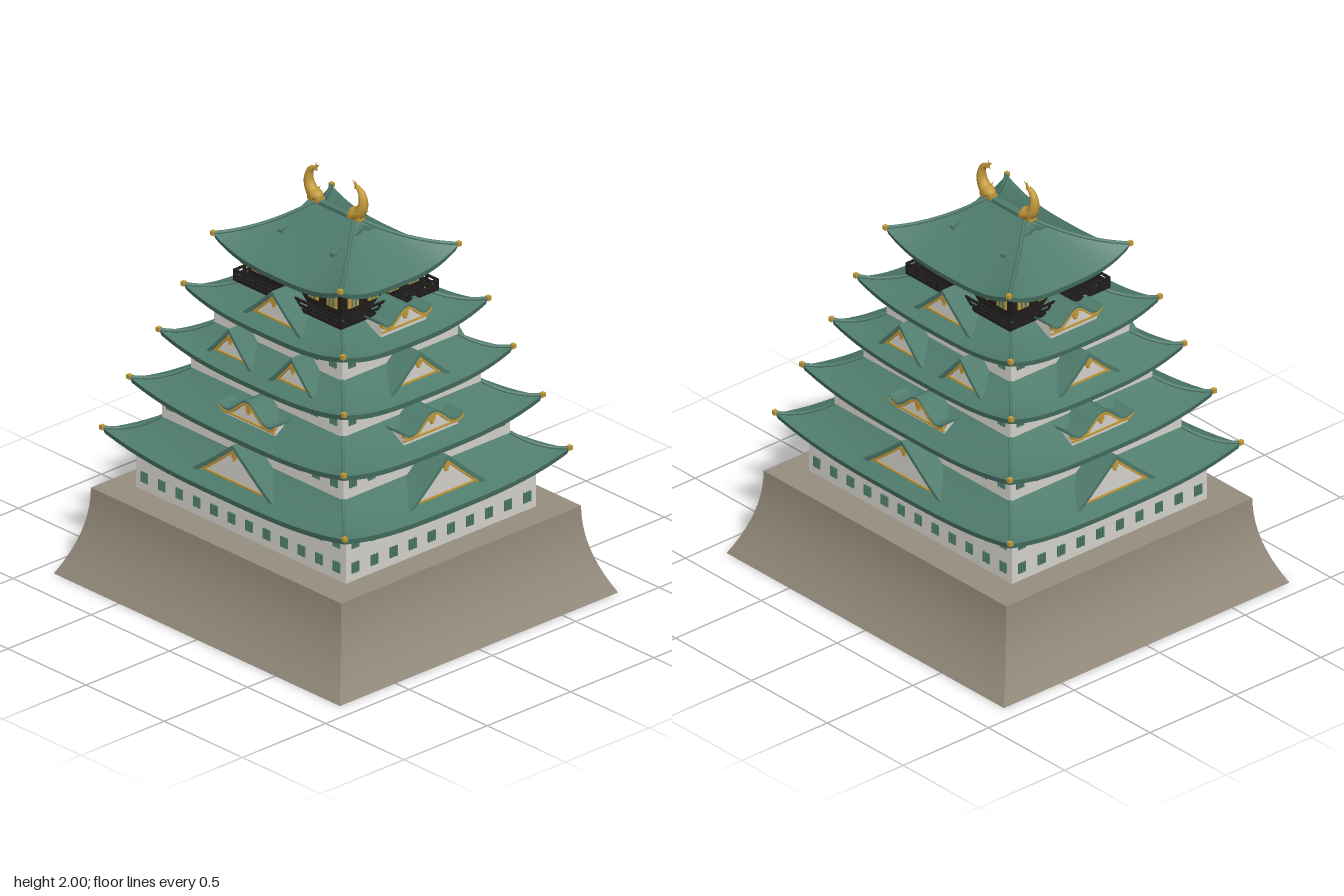
import * as THREE from 'three';
import { mergeGeometries } from 'three/addons/utils/BufferGeometryUtils.js';

const mat = (name, color, side = THREE.FrontSide) =>
  Object.assign(new THREE.MeshStandardMaterial({ color, side }), { name });

export function createModel() {
  const model = new THREE.Group();
  model.name = 'castle';
  const stone = mat('stone', 0x968d7e, THREE.DoubleSide);
  const green = mat('copper green', 0x4e7b6c, THREE.DoubleSide);
  const white = mat('plaster white', 0xd6d4cd);
  const gold = mat('gold', 0xc39a3a);
  const black = mat('lacquer black', 0x1f1d1b);

  const add = (name, geos, material, parent = model) => {
    const list = [geos].flat().map(g => (g.index ? g.toNonIndexed() : g));
    const mesh = new THREE.Mesh(list.length > 1 ? mergeGeometries(list) : list[0], material);
    mesh.name = name;
    parent.add(mesh);
    return mesh;
  };
  const box = (w, h, d, x, y, z) => new THREE.BoxGeometry(w, h, d).translate(x, y, z);
  const turn = (g, k) => g.rotateY(k * Math.PI / 2);

  // Four-sided shell through rectangular rings [halfX, halfZ, y, cornerLift], sharp at the corners
  const LIFT_POWER = 3, DIV = 20;
  function shell(rings) {
    const geos = [];
    for (let k = 0; k < 4; k++) {
      const pos = [], idx = [], n = DIV + 1;
      for (const [hx, hz, y, lift] of rings) {
        const along = k % 2 ? hz : hx, out = k % 2 ? hx : hz;
        for (let i = 0; i < n; i++) {
          const u = i / DIV * 2 - 1;
          pos.push(u * along, y + lift * Math.abs(u) ** LIFT_POWER, out);
        }
      }
      for (let r = 0; r < rings.length - 1; r++) for (let i = 0; i < DIV; i++) {
        const a = r * n + i, b = a + 1, c = a + n, d = c + 1;
        idx.push(a, b, d, a, d, c);
      }
      const g = new THREE.BufferGeometry();
      g.setAttribute('position', new THREE.Float32BufferAttribute(pos, 3));
      g.setIndex(idx);
      g.computeVertexNormals();
      geos.push(turn(g, k));
    }
    return geos;
  }

  // Flared stone base, hollow underneath
  const baseRings = [];
  for (let i = 0; i <= 10; i++) {
    const f = 0.115 * (1 - i / 10) ** 2;
    baseRings.push([0.8 + f, 0.72 + f, 0.042 * i, 0]);
  }
  add('stoneBase', shell(baseRings), stone);
  add('stoneBaseTop', new THREE.PlaneGeometry(1.6, 1.44).rotateX(-Math.PI / 2).translate(0, 0.42, 0), stone);

  // Curved hipped roof with upturned corners, hip ridges and gold corner caps
  function roof(name, eave, top, y0, y1, lift, wall, bend) {
    const [ex, ez] = eave, [tx, tz] = top, rings = [];
    for (let i = 0; i <= 10; i++) {
      const s = i / 10;
      rings.push([ex + (tx - ex) * s, ez + (tz - ez) * s,
        y0 + (y1 - y0) * ((1 - bend) * s + bend * s * s), lift * (1 - s) ** 2]);
    }
    const lip = [ex - 0.008, ez - 0.008, y0 - 0.028, lift];
    add(name, [
      ...shell([[wall[0] - 0.01, wall[1] - 0.01, y0 + 0.01, 0], lip]),
      ...shell([lip, rings[0]]),
      ...shell(rings),
    ], green);
    const hips = [], caps = [];
    for (const sx of [1, -1]) for (const sz of [1, -1]) {
      const path = new THREE.CatmullRomCurve3(rings.map(([x, z, y, l]) => new THREE.Vector3(sx * x, y + l + 0.003, sz * z)));
      hips.push(new THREE.TubeGeometry(path, 12, 0.009, 6));
      caps.push(box(0.02, 0.02, 0.02, sx * ex, y0 + lift + 0.003, sz * ez));
    }
    add(name + 'HipRidges', hips, green);
    add(name + 'CornerCaps', caps, gold);
  }

  // Storeys: wall half sizes, wall bottom, window rows, eave half sizes, eave height, roof top
  const storeys = [
    { wall: [0.67, 0.57], y: 0.42, rows: [[0.46, 0.51], [0.58, 0.63]], eave: [0.775, 0.675], ey: 0.645, top: 0.77 },
    { wall: [0.58, 0.5], y: 0.74, rows: [[0.82, 0.875]], eave: [0.685, 0.597], ey: 0.897, top: 1.015 },
    { wall: [0.485, 0.415], y: 0.98, rows: [[1.06, 1.11]], eave: [0.592, 0.507], ey: 1.13, top: 1.24 },
    { wall: [0.41, 0.347], y: 1.2, rows: [[1.29, 1.34]], eave: [0.51, 0.436], ey: 1.358, top: 1.455 },
  ];
  const topWall = [0.3, 0.245];
  storeys.forEach((s, n) => {
    const [hx, hz] = s.wall, h = s.ey + 0.02 - s.y;
    add('wall' + (n + 1), box(hx * 2, h, hz * 2, 0, s.y + h / 2, 0), white);
    const bars = [];
    for (let k = 0; k < 4; k++) {
      const along = k % 2 ? hz : hx, out = k % 2 ? hx : hz;
      const count = Math.round((2 * along - 0.03) / 0.112);
      for (const [a, b] of s.rows) for (let i = 0; i < count; i++) for (let j = -1; j <= 1; j++) {
        const x = -along + 0.055 + i * (2 * along - 0.11) / (count - 1) + j * 0.016;
        bars.push(turn(box(0.01, b - a, 0.009, x, (a + b) / 2, out + 0.003), k));
      }
    }
    add('windowBars' + (n + 1), bars, green);
    roof('roof' + (n + 1), s.eave, n < 3 ? storeys[n + 1].wall : topWall, s.ey, s.top, 0.06, s.wall, 0.3);
  });

  // Gables: a roof band following a profile, gold trim and a plaster face
  const pointed = (w, base, apex) => x => base + (apex - base) * (1 - Math.abs(x) / w) ** 1.08;
  const wavy = (w, base, apex) => x => {
    const t = Math.abs(x) / w;
    return base + (apex - base) * (0.5 + 0.5 * Math.cos(Math.PI * Math.min(t / 0.75, 1)))
      + 0.02 * (Math.max(t - 0.75, 0) / 0.25) ** 2;
  };
  function band(f, w, a, b, depth, z) {
    const upper = [], lower = [];
    for (let i = 0; i <= 24; i++) {
      const x = w * (i / 12 - 1);
      upper.push(new THREE.Vector2(x, f(x) - a));
      lower.unshift(new THREE.Vector2(x, typeof b === 'number' ? f(x) - b : b.floor));
    }
    return new THREE.ExtrudeGeometry(new THREE.Shape([...upper, ...lower]), { depth, bevelEnabled: false }).translate(0, 0, z - depth);
  }
  function gable(name, k, { x = 0, w, base, apex, front, back, floor }) {
    const g = new THREE.Group(), isWavy = floor !== undefined;
    const f = isWavy ? wavy(w, base, apex) : pointed(w, base, apex);
    const eave = isWavy ? 0.01 : 0.022, trim = eave + 0.014;
    const bottom = isWavy ? floor : base + 0.014;
    g.name = name;
    add('gableRoof', band(f, w, 0, eave, front - back, front), green, g);
    // plaster stops where the trim meets the sill
    let wi = w * 0.92;
    while (f(wi) - eave < bottom + 0.002) wi -= 0.002;
    add('gableFace', band(f, wi, eave, { floor: bottom }, front - back - 0.02, front - 0.02), white, g);
    const sillY = isWavy ? floor + 0.022 : bottom + 0.004;
    add('gableTrim', [
      band(f, isWavy ? w : wi, eave, trim, isWavy ? 0.022 : 0.012, front - (isWavy ? -0.002 : 0.01)),
      box(wi * 2, 0.008, 0.008, 0, sillY, front - 0.017),
      box(0.03, 0.028, 0.012, 0, apex - trim - 0.016, front - 0.013),
      box(0.014, 0.016, 0.012, 0, apex - trim - 0.036, front - 0.013),
    ], gold, g);
    g.position.x = x * (k === 0 ? 1 : -1);
    g.rotation.y = k * Math.PI / 2;
    model.add(g);
  }
  for (const k of [0, 2]) {
    gable('lowerFrontGable', k, { w: 0.27, base: 0.67, apex: 0.875, front: 0.622, back: 0.49 });
    gable('wavyFrontGable', k, { w: 0.177, base: 0.982, apex: 1.06, front: 0.537, back: 0.41, floor: 0.933 });
    for (const x of [-0.2, 0.2])
      gable('twinGable', k, { x, w: 0.147, base: 1.16, apex: 1.315, front: 0.458, back: 0.34 });
    gable('upperFrontGable', k, { w: 0.185, base: 1.385, apex: 1.545, front: 0.385, back: 0.245 });
  }
  for (const k of [1, 3]) {
    gable('lowerSideGable', k, { w: 0.242, base: 0.67, apex: 0.875, front: 0.718, back: 0.57 });
    gable('wavySideGable', k, { w: 0.177, base: 0.982, apex: 1.06, front: 0.627, back: 0.48, floor: 0.933 });
    gable('middleSideGable', k, { w: 0.178, base: 1.16, apex: 1.315, front: 0.541, back: 0.4 });
    gable('upperSideGable', k, { w: 0.147, base: 1.45, apex: 1.512, front: 0.456, back: 0.3, floor: 1.392 });
    gable('roofEndGable', k, { w: 0.18, base: 1.718, apex: 1.8, front: 0.18, back: 0.155 });
  }

  // Top storey with gold window panels
  add('topWall', box(0.6, 0.18, 0.49, 0, 1.53, 0), black);
  const panels = [], slats = [], rails = [];
  for (let k = 0; k < 4; k++) {
    const out = topWall[k % 2 ? 0 : 1], count = k % 2 ? 4 : 5;
    for (let i = 0; i < count; i++) {
      const x = (i - (count - 1) / 2) * 0.12;
      panels.push(turn(box(0.062, 0.06, 0.008, x, 1.538, out + 0.003), k));
      for (const j of [-1, 1]) slats.push(turn(box(0.011, 0.05, 0.005, x + j * 0.011, 1.538, out + 0.007), k));
    }
    // Balcony railing
    const len = k % 2 ? 0.295 : 0.345, rz = k % 2 ? 0.34 : 0.29;
    for (const y of [1.475, 1.498]) rails.push(turn(box(len * 2, 0.009, 0.01, 0, y, rz), k));
    for (let i = 0; i <= 10; i++) rails.push(turn(box(0.01, 0.05, 0.01, (i / 5 - 1) * (len - 0.005), 1.475, rz), k));
  }
  add('topWindowPanels', panels, gold);
  add('topWindowSlats', slats, green);
  add('balconyRailing', rails, black);
  add('balconyFloor', box(0.69, 0.014, 0.59, 0, 1.455, 0), black);

  // Main roof and ridge
  roof('mainRoof', [0.407, 0.355], [0.125, 0.012], 1.603, 1.812, 0.07, topWall, 0.2);
  add('mainRidge', box(0.27, 0.024, 0.032, 0, 1.815, 0), green);

  // Golden fish finials: a tapering curved body with tail and fins
  const path = new THREE.CatmullRomCurve3([[0.12, 1.838], [0.152, 1.855], [0.174, 1.9], [0.165, 1.95], [0.135, 1.975]]
    .map(([x, y]) => new THREE.Vector3(x, y, 0)));
  for (const side of [0, 1]) {
    const body = new THREE.TubeGeometry(path, 20, 1, 10);
    const p = body.attributes.position, v = new THREE.Vector3();
    for (let i = 0; i < p.count; i++) {
      const t = Math.floor(i / 11) / 20, c = path.getPointAt(t);
      const r = 0.009 + 0.024 * (1 - t) ** 0.8;
      v.fromBufferAttribute(p, i).sub(c).multiplyScalar(r).add(c);
      p.setXYZ(i, v.x, v.y, v.z);
    }
    body.computeVertexNormals();
    const fin = (r, h, ang, x, y, z = 0, tilt = 0) =>
      new THREE.ConeGeometry(r, h, 6).scale(1, 1, 0.5).rotateX(tilt).rotateZ(ang).translate(x, y, z);
    const g = new THREE.Group();
    g.name = 'fishFinial';
    add('fishBody', [body, new THREE.SphereGeometry(0.032, 10, 8).scale(1, 0.8, 0.9).translate(0.122, 1.842, 0)], gold, g);
    add('fishFins', [
      fin(0.012, 0.045, 0.9, 0.122, 1.982), fin(0.012, 0.04, 0.1, 0.128, 1.982),
      fin(0.012, 0.03, -1.2, 0.194, 1.875), fin(0.01, 0.03, -1.5, 0.192, 1.91),
      fin(0.012, 0.04, 0, 0.14, 1.86, 0.026, 0.9), fin(0.012, 0.04, 0, 0.14, 1.86, -0.026, -0.9),
    ], gold, g);
    add('fishPlinth', box(0.075, 0.02, 0.04, 0.128, 1.826, 0), gold, g);
    g.rotation.y = side * Math.PI;
    model.add(g);
  }
  return model;
}
